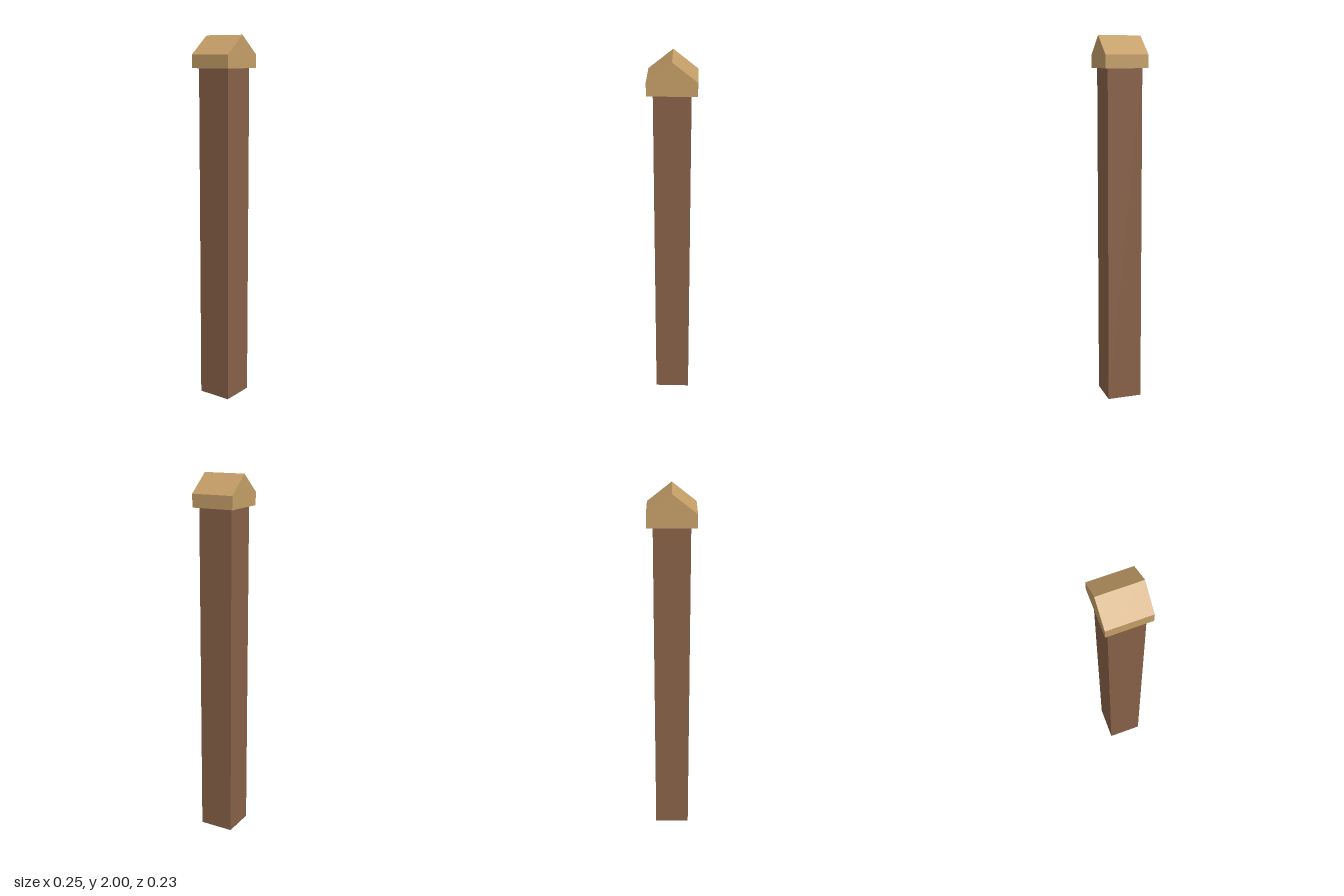
import * as THREE from 'three';

export function createModel() {
  const model = new THREE.Group();
  model.name = 'post';

  const darkWood = new THREE.MeshStandardMaterial({ color: 0x886148 });
  darkWood.name = 'dark wood';
  const lightWood = new THREE.MeshStandardMaterial({ color: 0xc49e67 });
  lightWood.name = 'light wood';

  const capBase = 1.83, eave = 1.9, ridge = 2;
  const halfWidth = 0.127, capDepth = 0.234;

  // Square shaft
  const shaft = new THREE.Mesh(new THREE.BoxGeometry(0.19, capBase, 0.19), darkWood);
  shaft.name = 'shaft';
  shaft.position.y = capBase / 2;
  model.add(shaft);

  // Gabled cap, ridge running front to back
  const gable = new THREE.Shape([
    new THREE.Vector2(-halfWidth, capBase),
    new THREE.Vector2(halfWidth, capBase),
    new THREE.Vector2(halfWidth, eave),
    new THREE.Vector2(0, ridge),
    new THREE.Vector2(-halfWidth, eave),
  ]);
  const capGeometry = new THREE.ExtrudeGeometry(gable, { depth: capDepth, bevelEnabled: false });
  capGeometry.translate(0, 0, -capDepth / 2);
  const cap = new THREE.Mesh(capGeometry, lightWood);
  cap.name = 'gabledCap';
  model.add(cap);

  return model;
}
